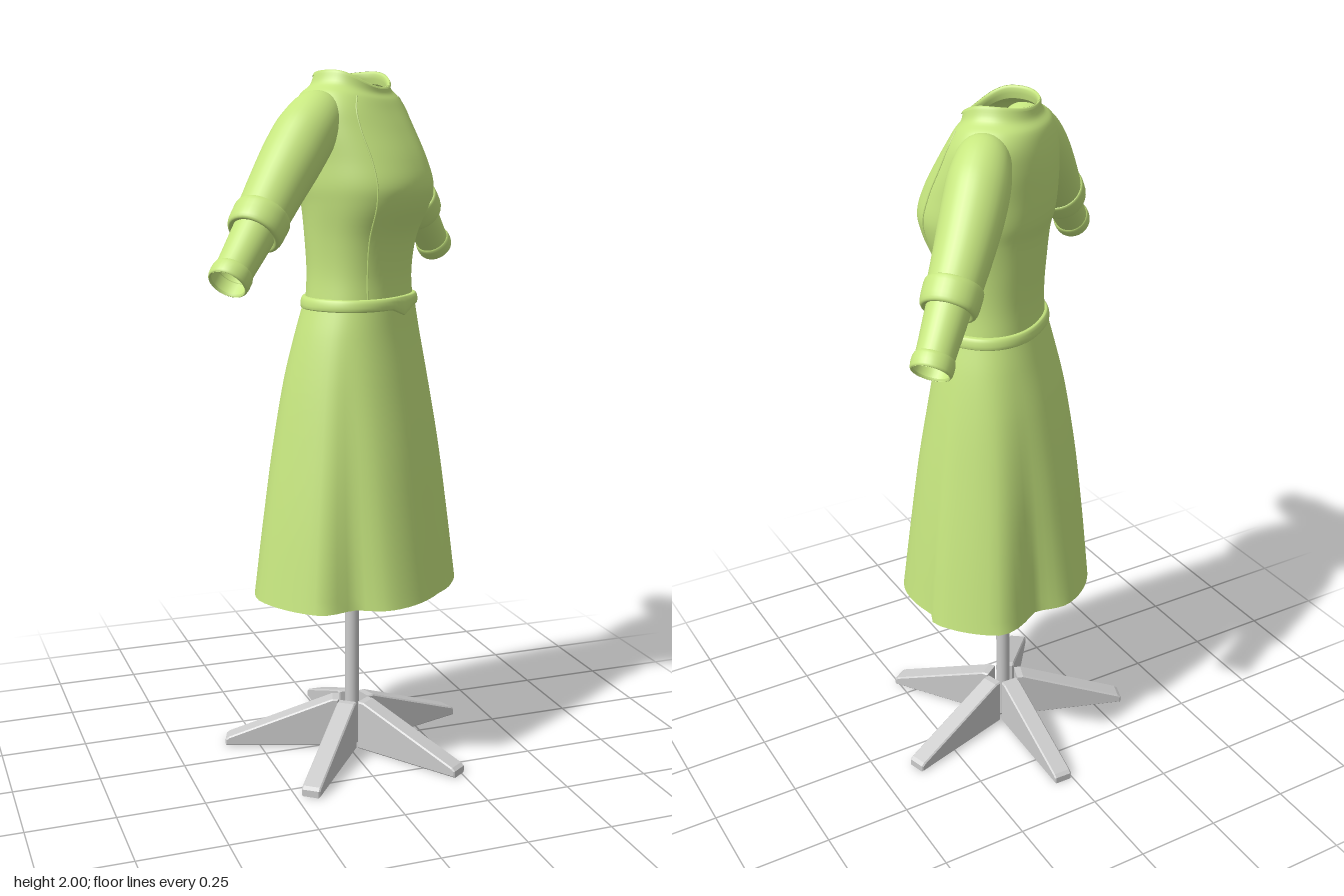
import * as THREE from 'three';

const COLS = 72;
const cloth = new THREE.MeshStandardMaterial({ color: 0xc6e67f, side: THREE.DoubleSide });
const metal = new THREE.MeshStandardMaterial({ color: 0xcccccc });

// Smooth skin over closed rings of points; every column becomes a curve with `steps` spans
function loft(rings, steps) {
  const n = rings[0].length, pos = [], idx = [];
  const cols = [];
  for (let i = 0; i < n; i++) {
    const curve = new THREE.CatmullRomCurve3(rings.map(r => r[i]), false, 'centripetal');
    cols.push(Array.from({ length: steps + 1 }, (_, k) => curve.getPoint(k / steps)));
  }
  for (let k = 0; k <= steps; k++) for (let i = 0; i < n; i++) pos.push(...cols[i][k].toArray());
  for (let k = 0; k < steps; k++) for (let i = 0; i < n; i++) {
    const a = k * n + i, b = k * n + (i + 1) % n;
    idx.push(a, a + n, b, b, a + n, b + n);
  }
  const g = new THREE.BufferGeometry();
  g.setAttribute('position', new THREE.Float32BufferAttribute(pos, 3));
  g.setIndex(idx);
  g.computeVertexNormals();
  return g;
}

function add(parent, name, geometry, material) {
  const mesh = new THREE.Mesh(geometry, material);
  mesh.name = name;
  parent.add(mesh);
  return mesh;
}

// Point of a rounded body section: half width, front depth, back depth, dip at the front centre
function bodyPoint([y, w, front, back, dip = 0], a) {
  const c = Math.cos(a), s = Math.sin(a);
  const soft = v => Math.sign(v) * Math.abs(v) ** 0.88;
  const mid = (front + back) / 2, h = (front - back) / 2;
  const drop = s > 0 ? dip * s * s : dip * 0.3 * s * s;
  return new THREE.Vector3(w * soft(c), y - drop, mid + h * soft(s));
}
const angles = Array.from({ length: COLS }, (_, i) => i / COLS * Math.PI * 2);
const section = row => angles.map(a => bodyPoint(row, a));

// Wavy hem as [degrees, radius] around the skirt's centre
const HEM = [[-21.2, 0.346], [13.5, 0.341], [21, 0.305], [48, 0.301], [71, 0.283], [90, 0.272],
  [132.7, 0.3], [151, 0.279], [167, 0.343], [203.5, 0.341], [241.5, 0.273], [292.5, 0.279],
  [313.7, 0.25], [338.8, 0.346]];
function hemPoint(a) {
  let d = a * 180 / Math.PI;
  if (d > 338.8) d -= 360;
  const k = HEM.findIndex(h => h[0] >= d);
  const [d0, r0] = HEM[k - 1], [d1, r1] = HEM[k];
  const t = THREE.MathUtils.smoothstep(d, d0, d1) * 0.5 + (d - d0) / (d1 - d0) * 0.5;
  const r = r0 + (r1 - r0) * t;
  return new THREE.Vector3(r * Math.cos(a), 0.53, 0.04 + r * Math.sin(a));
}

const BODICE = [
  [1.36, 0.18, 0.185, -0.085], [1.45, 0.172, 0.183, -0.083], [1.55, 0.177, 0.2, -0.09],
  [1.64, 0.19, 0.24, -0.1], [1.69, 0.196, 0.25, -0.113], [1.76, 0.195, 0.228, -0.12],
  [1.84, 0.197, 0.185, -0.12], [1.9, 0.19, 0.155, -0.112, 0.01], [1.94, 0.165, 0.137, -0.1, 0.02],
  [1.965, 0.13, 0.124, -0.08, 0.028], [2.0, 0.115, 0.12, -0.07, 0.045]];

const SKIRT = [
  [1.365, 0.186, 0.19, -0.09], [1.28, 0.21, 0.2, -0.11], [1.15, 0.238, 0.222, -0.14],
  [0.95, 0.272, 0.255, -0.172], [0.75, 0.302, 0.28, -0.195], [0.53, 0.33, 0.305, -0.212]];

// Sleeve: circles of given radius along the arm line, [distance 0..1, radius]
const armCurve = new THREE.CatmullRomCurve3([[0.11, 1.885, 0.015], [0.17, 1.873, 0.012],
  [0.25, 1.8, 0.005], [0.35, 1.7, 0], [0.46, 1.59, 0], [0.592, 1.465, 0]]
  .map(p => new THREE.Vector3(...p)));
function sleeve(rows, steps) {
  return loft(rows.map(([t, r]) => {
    const p = armCurve.getPointAt(t), d = armCurve.getTangentAt(t);
    const z = new THREE.Vector3(0, 0, 1), side = new THREE.Vector3().crossVectors(z, d).normalize();
    return Array.from({ length: 32 }, (_, i) => {
      const a = i / 32 * Math.PI * 2;
      return p.clone().addScaledVector(side, r * Math.cos(a)).addScaledVector(z, r * Math.sin(a));
    });
  }), steps);
}

function buildDress() {
  const dress = new THREE.Group();
  dress.name = 'dress';
  add(dress, 'bodice', loft(BODICE.map(section), 50), cloth);

  // Skirt sections blend from a smooth waist to the wavy hem
  const skirtRings = SKIRT.map(row => {
    const t = ((1.365 - row[0]) / 0.835) ** 1.4;
    return angles.map(a => {
      const p = bodyPoint(row, a), h = hemPoint(a);
      return new THREE.Vector3(p.x + (h.x * row[1] / 0.33 - p.x) * t, row[0],
        p.z + (h.z * row[2] / 0.305 - p.z) * t);
    });
  });
  add(dress, 'skirt', loft(skirtRings, 30), cloth);

  // Waistband with a small point at the front centre
  const band = [[1.385, 0.176, 0.182, -0.082], [1.382, 0.189, 0.195, -0.093],
    [1.355, 0.194, 0.198, -0.097], [1.35, 0.187, 0.19, -0.09]];
  const bandRings = band.map((row, k) => section(row).map(p => {
    if (k > 1 && p.z > 0.1) p.y -= 0.022 * Math.max(0, 1 - Math.abs(p.x) / 0.06);
    return p;
  }));
  add(dress, 'waistband', loft(bandRings, 9), cloth);

  // Folded neck edge
  const neckEdge = [[1.992, 0.12, 0.125, -0.075, 0.043], [2.0, 0.116, 0.121, -0.071, 0.045],
    [1.992, 0.109, 0.113, -0.064, 0.045], [1.965, 0.112, 0.112, -0.066, 0.035]];
  add(dress, 'neckEdge', loft(neckEdge.map(section), 6), cloth);

  for (const side of [1, -1]) {
    const arm = new THREE.Group();
    arm.name = side > 0 ? 'leftSleeve' : 'rightSleeve';
    arm.scale.x = side;
    add(arm, 'upperSleeve', sleeve([[0, 0.05], [0.08, 0.072], [0.18, 0.083], [0.32, 0.084],
      [0.5, 0.077], [0.68, 0.069]], 30), cloth);
    add(arm, 'foldedCuff', sleeve([[0.63, 0.066], [0.635, 0.075], [0.68, 0.077],
      [0.735, 0.073], [0.745, 0.066], [0.735, 0.054]], 16), cloth);
    add(arm, 'lowerSleeve', sleeve([[0.7, 0.058], [0.8, 0.055], [0.9, 0.051], [1, 0.049]], 10), cloth);
    add(arm, 'sleeveHem', sleeve([[0.93, 0.049], [0.94, 0.054], [0.99, 0.054],
      [1, 0.05], [0.99, 0.046]], 10), cloth);
    dress.add(arm);

    // Princess seam running from shoulder over the bust to the waist
    const bend = [0.78, 0.8, 0.83, 0.86, 0.87, 0.86, 0.84, 0.8, 0.76];
    const seam = new THREE.CatmullRomCurve3(BODICE.slice(0, 9).map((row, k) =>
      bodyPoint(row, Math.PI / 2 - side * bend[k])));
    add(dress, 'bodiceSeam', new THREE.TubeGeometry(seam, 48, 0.0025, 5), cloth);
  }
  return dress;
}

function buildStand() {
  const stand = new THREE.Group();
  stand.name = 'stand';
  stand.position.set(0.022, 0, 0.01);
  add(stand, 'pole', new THREE.CylinderGeometry(0.021, 0.021, 1.2, 24), metal).position.y = 0.605;

  // Five wedge feet
  const b = 0.004;
  const wedge = new THREE.Shape([[0.04, 0], [0.385, 0], [0.385, 0.02], [0.375, 0.028],
    [0.06, 0.15], [0.04, 0.15]].map(([x, y]) => new THREE.Vector2(x, y)));
  const foot = new THREE.ExtrudeGeometry(wedge, { depth: 0.056 - 2 * b, bevelSize: b,
    bevelOffset: -b, bevelThickness: b, bevelSegments: 1 });
  foot.translate(0, 0, b - 0.028);
  for (let i = 0; i < 5; i++) {
    add(stand, 'foot', foot, metal).rotation.y = (88.5 + i * 72) * Math.PI / 180;
  }
  return stand;
}

export function createModel() {
  const model = new THREE.Group();
  model.name = 'dressOnStand';
  const dress = buildDress();
  dress.rotation.y = 0.71;
  model.add(dress, buildStand());
  return model;
}
